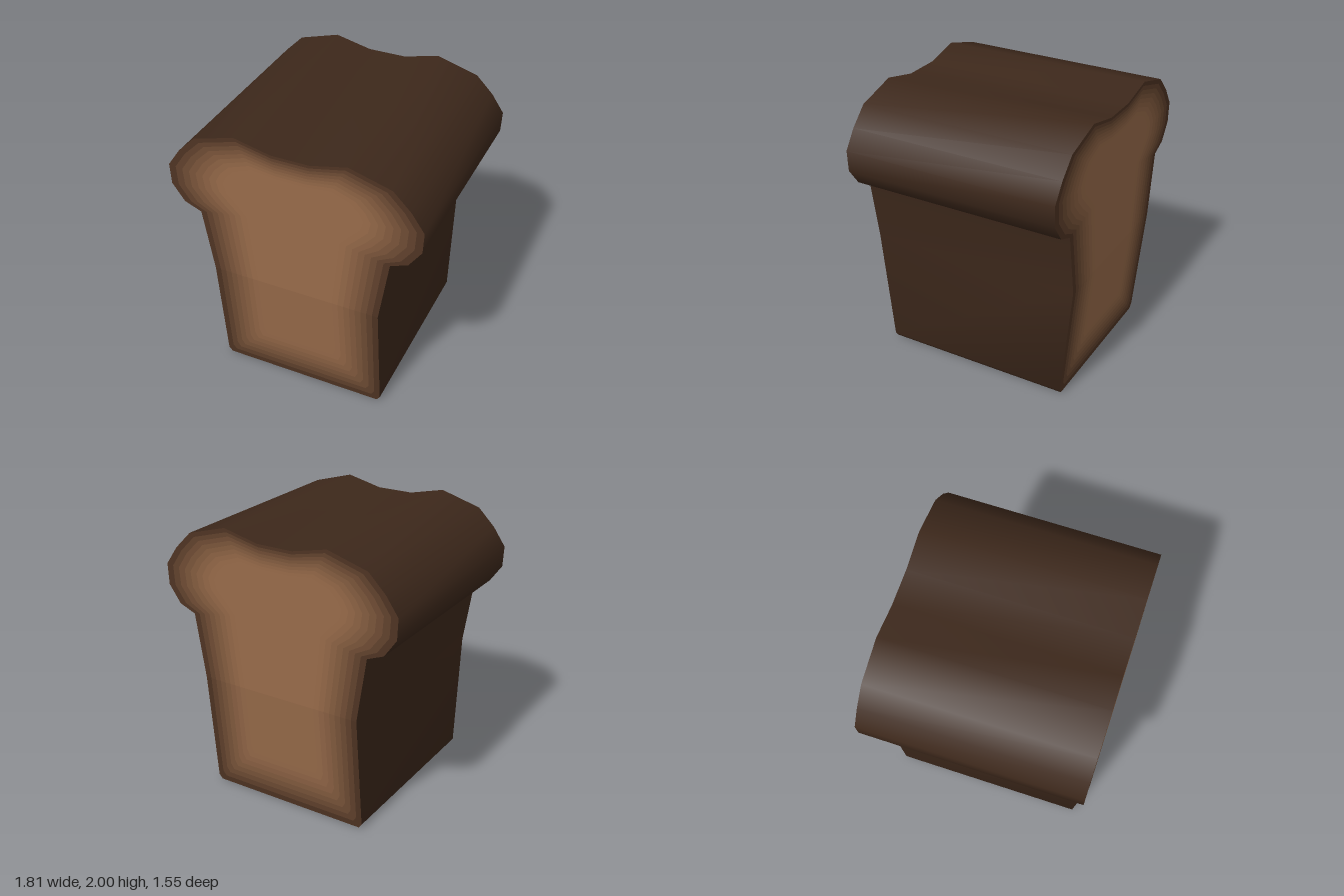
import * as THREE from 'three';
import { toCreasedNormals } from 'three/addons/utils/BufferGeometryUtils.js';

const BEND = 0.87; // the end faces lean inward below this height
const depthAt = (y) => 0.775 - 0.083 * Math.max(0, (BEND - y) / BEND);

// Mirror a right-hand profile (bottom to top) into a closed counter-clockwise loop
const mirror = (half) => [...half, ...half.map(([x, y]) => [-x, y]).reverse()];

const outline = mirror([
  [0.59, 0], [0.615, 0.035], [0.615, BEND], [0.688, 1.335], [0.81, 1.385], [0.898, 1.51],
  [0.905, 1.66], [0.815, 1.79], [0.69, 1.915], [0.395, 2], [0.135, 1.94],
]);
const core = mirror([
  [0.26, 0.34], [0.28, 0.4], [0.28, BEND], [0.34, 1.4], [0.41, 1.48], [0.48, 1.55],
  [0.5, 1.62], [0.47, 1.68], [0.41, 1.74], [0.28, 1.79], [0.1, 1.77],
]);

function quadStrip(count, corners) {
  const pos = [];
  for (let i = 0; i < count; i++) {
    const [a, b, c, d] = corners(i, (i + 1) % count);
    pos.push(...a, ...b, ...c, ...a, ...c, ...d);
  }
  const g = new THREE.BufferGeometry();
  g.setAttribute('position', new THREE.Float32BufferAttribute(pos, 3));
  g.computeVertexNormals();
  return g;
}

function part(name, geometry, color) {
  const mesh = new THREE.Mesh(geometry, new THREE.MeshStandardMaterial({ color }));
  mesh.name = name;
  return mesh;
}

const onFace = ([x, y]) => [x, y, depthAt(y)];

// One slice end: pale centre with bands darkening towards the crust
function createEnd(name) {
  const end = new THREE.Group();
  end.name = name;
  const pale = new THREE.Color(0x986b4a);
  const dark = new THREE.Color(0x432b1d);
  const ring = (t) => core.map(([x, y], i) =>
    [x + (outline[i][0] - x) * t, y + (outline[i][1] - y) * t]);

  const bands = 8;
  for (let k = 0; k < bands; k++) {
    const inner = ring(k / bands);
    const outer = ring((k + 1) / bands);
    const g = quadStrip(outline.length, (i, j) => [inner[i], outer[i], outer[j], inner[j]].map(onFace));
    end.add(part('crumbBand' + (k + 1), g, pale.clone().lerp(dark, ((k + 0.5) / bands) ** 1.3)));
  }

  // Centre, split at the bend so both halves stay flat
  const n = core.length;
  const halves = {
    crumbUpper: core.slice(2, n - 2),
    crumbLower: [...core.slice(0, 3), ...core.slice(n - 3)],
  };
  for (const [label, points] of Object.entries(halves)) {
    const g = new THREE.ShapeGeometry(new THREE.Shape(points.map(([x, y]) => new THREE.Vector2(x, y))));
    const p = g.attributes.position;
    for (let i = 0; i < p.count; i++) p.setZ(i, depthAt(p.getY(i)));
    g.computeVertexNormals();
    end.add(part(label, g, pale));
  }
  return end;
}

export function createModel() {
  const loaf = new THREE.Group();
  loaf.name = 'breadLoaf';

  // Crust wrapped around the outline from front to back
  const crust = quadStrip(outline.length, (i, j) => {
    const [a, b] = [onFace(outline[i]), onFace(outline[j])];
    const back = ([x, y, z]) => [x, y, -z];
    return [a, back(a), back(b), b];
  });
  loaf.add(part('crust', toCreasedNormals(crust, 0.8), 0x3d281b));

  // Matching cut ends
  const back = createEnd('backEnd');
  back.rotation.y = Math.PI;
  loaf.add(createEnd('frontEnd'), back);
  return loaf;
}
